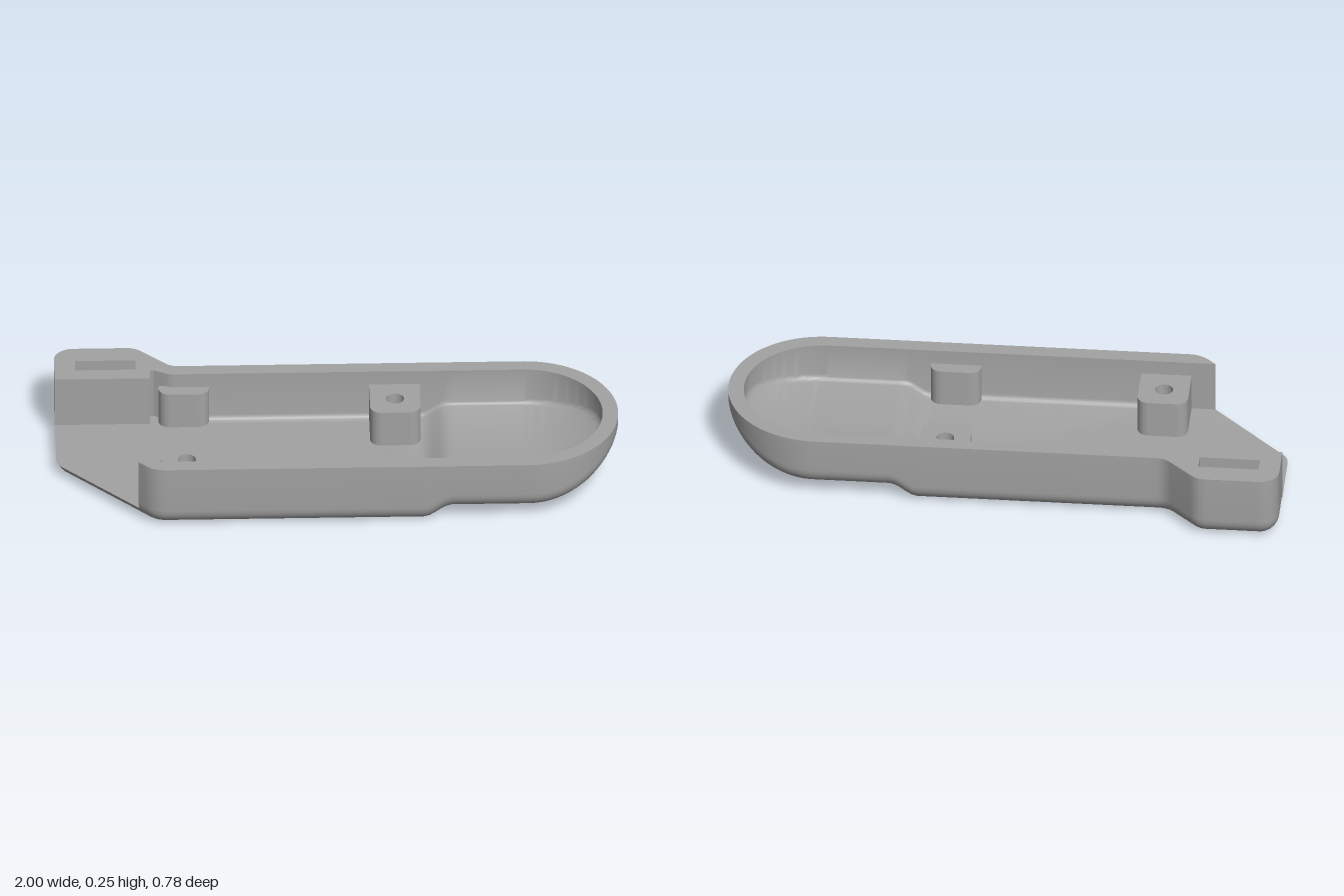
import * as THREE from 'three';
import { mergeGeometries, toCreasedNormals } from 'three/addons/utils/BufferGeometryUtils.js';

const RIM = 0.245, FLOOR = 0.05, SPINE = 0.06, FLAT_END = 0.28, POST_TOP = 0.19, BORE_TOP = 0.13;
const HOLES = [[-0.54, 0.24], [0.21, -0.13]];

// Height of the underside along x: flat, a smooth step, then a curved-up nose
function keel(x) {
  let y = 0.05 * THREE.MathUtils.smoothstep(x, 0.3, 0.4);
  if (x > 0.68) y += 0.56 - Math.sqrt(0.56 ** 2 - (x - 0.68) ** 2);
  return y;
}

// Rounded polygon from [x, z, radius, open]; each point keeps its inward normal and open flag
function outline(corners) {
  const pts = [], n = corners.length;
  corners.forEach(([x, z, r, open], i) => {
    const p = corners[(i + n - 1) % n], q = corners[(i + 1) % n];
    const a = Math.atan2(z - p[1], x - p[0]), b = Math.atan2(q[1] - z, q[0] - x);
    const turn = Math.atan2(Math.sin(b - a), Math.cos(b - a));
    const s = turn < 0 ? -1 : 1, t = r * Math.tan(Math.abs(turn) / 2);
    const cx = x - Math.cos(a) * t - Math.sin(a) * r * s;
    const cz = z - Math.sin(a) * t + Math.cos(a) * r * s;
    const steps = r ? Math.max(4, Math.ceil(Math.abs(turn) * (r > 0.2 ? 18 : 7))) : 1;
    for (let k = 0; k <= steps; k++) {
      const w = a + turn * k / steps, nx = -Math.sin(w), nz = Math.cos(w);
      pts.push({ x: cx - nx * r * s, z: cz - nz * r * s, nx, nz, open: k ? !!open : !!p[3] });
    }
  });
  // Subdivide the straights at regular x stations
  const out = [], step = 0.02;
  pts.forEach((p, i) => {
    const q = pts[(i + 1) % pts.length], dx = q.x - p.x;
    out.push(p);
    if (Math.abs(dx) < step) return;
    const dir = Math.sign(dx);
    let k = dir > 0 ? Math.floor(p.x / step + 1e-4) + 1 : Math.ceil(p.x / step - 1e-4) - 1;
    for (; (q.x - k * step) * dir > 1e-4; k += dir) {
      const f = (k * step - p.x) / dx;
      out.push({ ...p, x: k * step, z: p.z + (q.z - p.z) * f });
    }
  });
  return out;
}

// Surface through closed rings of [x, y, z]
function loft(rings, flip, keep = () => true) {
  const pos = [];
  const tri = (a, b, c) => pos.push(...a, ...(flip ? c : b), ...(flip ? b : c));
  for (let k = 0; k + 1 < rings.length; k++) {
    const A = rings[k], B = rings[k + 1];
    for (let i = 0; i < A.length; i++) {
      const j = (i + 1) % A.length;
      if (!keep(A[i], A[j])) continue;
      tri(A[i], A[j], B[i]);
      tri(A[j], B[j], B[i]);
    }
  }
  return new THREE.BufferGeometry().setAttribute('position', new THREE.Float32BufferAttribute(pos, 3));
}

function toShape(points, sign, holes = [], radius = 0.06) {
  const v = [];
  for (const [x, z] of points) {
    const p = new THREE.Vector2(x, z * sign);
    if (!v.length || v[v.length - 1].distanceTo(p) > 1e-5) v.push(p);
  }
  if (v[0].distanceTo(v[v.length - 1]) < 1e-5) v.pop();
  const shape = new THREE.Shape(v);
  for (const [x, z] of holes) shape.holes.push(new THREE.Path().absarc(x, z * sign, radius, 0, Math.PI * 2, true));
  return shape;
}

// Horizontal face with holes, facing up or down
function flat(shape, y, up) {
  return new THREE.ShapeGeometry(shape, 16).rotateX(up ? -Math.PI / 2 : Math.PI / 2).translate(0, y, 0);
}

function merged(list, crease = 0.6) {
  const bare = list.map((g) => {
    const h = g.index ? g.toNonIndexed() : g;
    h.deleteAttribute('normal');
    h.deleteAttribute('uv');
    return h;
  });
  return toCreasedNormals(mergeGeometries(bare), crease);
}

// Close a ring: a flat plate with holes at the tail, a ruled strip to the spine in the nose
function closeRing(ring, lift, up) {
  const tail = ring.filter((p) => p[0] <= FLAT_END + 1e-5).map((p) => [p[0], p[2]]);
  const spine = ring.map(([x]) => [x, keel(x) + lift, SPINE]);
  return [
    flat(toShape(tail, up ? -1 : 1, HOLES), lift, up),
    loft([ring, spine], up, (a, b) => Math.max(a[0], b[0]) > FLAT_END + 1e-5),
  ];
}

export function createModel() {
  const group = new THREE.Group();
  const grey = new THREE.MeshStandardMaterial({ color: 0xa3a3a3, side: THREE.DoubleSide });
  grey.name = 'grey plastic';
  const add = (name, geometry, parent = group) => {
    const mesh = new THREE.Mesh(geometry, grey);
    mesh.name = name;
    parent.add(mesh);
  };

  const outer = outline([
    [-1, -0.2, 0], [-1, -0.395, 0.07], [-0.71, -0.395, 0.07], [-0.585, -0.275, 0.07],
    [1, -0.275, 0.3325], [1, 0.39, 0.3325], [-0.66, 0.39, 0.1], [-0.715, 0.335, 0, true], [-1, 0.05, 0.07, true],
  ]);
  const inner = outline([
    [-1, -0.2, 0], [-0.66, -0.2, 0], [-0.66, -0.257, 0.01], [-0.59, -0.222, 0.06],
    [0.9445, -0.222, 0.2785], [0.9445, 0.335, 0.2785], [-0.715, 0.335, 0, true], [-1, 0.05, 0.07, true],
  ]);

  // Outer sides with a rounded lower edge, and the underside
  const R = 0.07;
  const hull = [outer.map((p) => [p.x, p.open ? FLOOR : RIM, p.z])];
  for (let k = 0; k <= 8; k++) {
    const a = k / 8 * Math.PI / 2, d = R * (1 - Math.cos(a));
    hull.push(outer.map((p) => {
      const x = p.x + p.nx * d;
      return [x, Math.min(p.open ? FLOOR : RIM, keel(x) + R * (1 - Math.sin(a))), p.z + p.nz * d];
    }));
  }
  add('outerHull', merged([loft(hull, false), ...closeRing(hull[hull.length - 1], 0, false)]));

  // Inner walls with a small fillet, and the floor
  const well = [inner.map((p) => [p.x, p.open ? FLOOR : RIM, p.z])];
  for (let k = 0; k <= 4; k++) {
    const a = k / 4 * Math.PI / 2;
    well.push(inner.map((p) => {
      const r = p.open || p.x < -0.59 ? 0 : 0.02, d = r * (1 - Math.cos(a)), x = p.x + p.nx * d;
      return [x, keel(x) + FLOOR + r * (1 - Math.sin(a)), p.z + p.nz * d];
    }));
  }
  add('innerWallsAndFloor', merged([loft(well, true), ...closeRing(well[well.length - 1], FLOOR, true)]));

  // Flat rim with the slot in the corner block
  const wall = (pts) => pts.filter((p) => !p.open).map((p) => [p.x, p.z]);
  const rim = toShape([...wall(outer), ...wall(inner).reverse()], -1);
  const slot = [[-0.925, -0.316], [-0.71, -0.316], [-0.71, -0.257], [-0.925, -0.257]];
  rim.holes.push(new THREE.Path(slot.map(([x, z]) => new THREE.Vector2(x, -z))));
  add('rim', merged([flat(rim, RIM, true)]));
  add('slotPocket', merged([
    loft([RIM, RIM - 0.1].map((y) => slot.map(([x, z]) => [x, y, z])), true),
    flat(toShape(slot, -1), RIM - 0.1, true),
  ]));

  // Posts against the long walls; the two deep ones carry a stepped screw hole
  const post = (name, x, zWall, zEnd, hole) => {
    const part = new THREE.Group();
    part.name = name;
    group.add(part);
    const back = zWall + Math.sign(zWall - zEnd) * 0.01;
    const plan = outline([[x - 0.09, back, 0], [x + 0.09, back, 0], [x + 0.09, zEnd, 0.04], [x - 0.09, zEnd, 0.04]])
      .map((p) => [p.x, p.z]);
    const block = (y0, y1, radius) => new THREE.ExtrudeGeometry(toShape(plan, -1, hole ? [hole] : [], radius),
      { depth: y1 - y0, bevelEnabled: false, curveSegments: 16 }).rotateX(-Math.PI / 2).translate(0, y0, 0);
    if (!hole) return add('postBody', merged([block(0.04, POST_TOP)]), part);
    add('postTop', merged([block(BORE_TOP, POST_TOP, 0.032)]), part);
    add('postBase', merged([block(0.04, BORE_TOP, 0.06)]), part);
    add('screwBore', new THREE.CylinderGeometry(0.06, 0.06, FLOOR, 32, 1, true)
      .translate(hole[0], FLOOR / 2, hole[1]), part);
  };
  post('frontScrewPost', -0.54, 0.335, 0.15, HOLES[0]);
  post('backScrewPost', 0.21, -0.222, -0.04, HOLES[1]);
  post('backSupport', -0.54, -0.222, -0.175);
  post('frontSupport', 0.21, 0.335, 0.285);

  return group;
}
